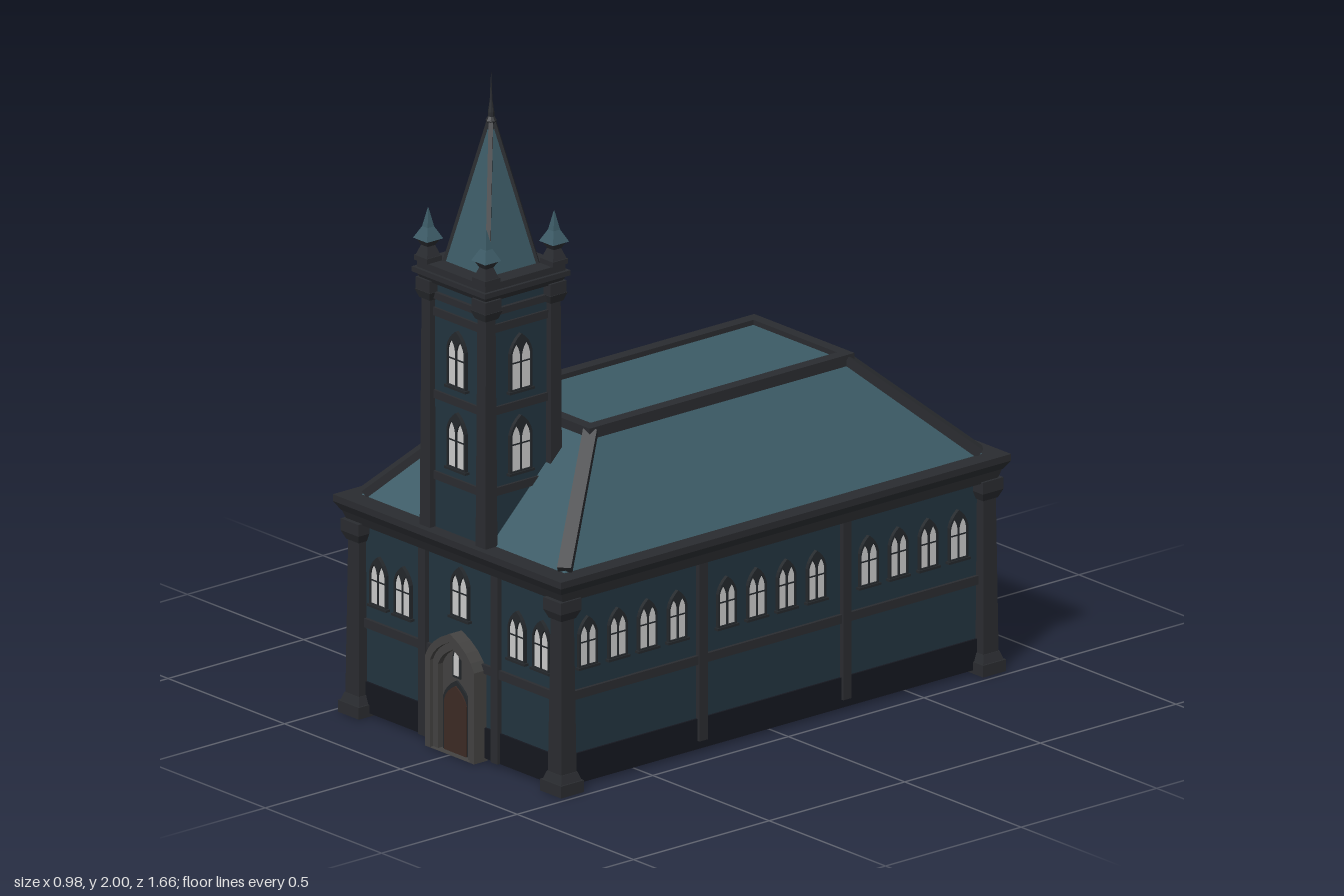
import * as THREE from 'three';

const mat = (color, side = THREE.FrontSide) => new THREE.MeshStandardMaterial({ color, side, flatShading: true });
const WALL = mat(0x22343f), TRIM = mat(0x2a2c30), DARK = mat(0x15171f), ROOF = mat(0x3c5b66);
const STONE = mat(0x434241), DOOR = mat(0x3d2a24), FRAME = mat(0x24282c), GLASS = mat(0xcccccc);

function add(parent, name, geo, material, x = 0, y = 0, z = 0) {
  const m = new THREE.Mesh(geo, material);
  m.name = name;
  m.position.set(x, y, z);
  parent.add(m);
  return m;
}

// Box between y0 and y1
function block(parent, name, material, w, d, y0, y1, x = 0, z = 0) {
  return add(parent, name, new THREE.BoxGeometry(w, y1 - y0, d), material, x, (y0 + y1) / 2, z);
}

// Box whose top has a different width and depth from its bottom
function taper(parent, name, material, [bw, bd], [tw, td], y0, y1, x = 0, z = 0) {
  const g = new THREE.BoxGeometry(1, y1 - y0, 1), p = g.attributes.position;
  for (let i = 0; i < p.count; i++) {
    const top = p.getY(i) > 0;
    p.setX(i, p.getX(i) * (top ? tw : bw));
    p.setZ(i, p.getZ(i) * (top ? td : bd));
  }
  g.computeVertexNormals();
  return add(parent, name, g, material, x, (y0 + y1) / 2, z);
}

// Straight beam from a to b
function strut(parent, name, material, a, b, w, h) {
  const A = new THREE.Vector3(...a), B = new THREE.Vector3(...b);
  const m = add(parent, name, new THREE.BoxGeometry(w, h, A.distanceTo(B)), material);
  m.position.copy(A).add(B).multiplyScalar(0.5);
  m.lookAt(B);
  return m;
}

// Pointed arch outline, half width w
function arch(w, y0, spring, top, x = 0, C = THREE.Shape) {
  const s = new C(), k = spring + (top - spring) * 0.6;
  s.moveTo(x - w, y0);
  s.lineTo(x + w, y0);
  s.lineTo(x + w, spring);
  s.quadraticCurveTo(x + w * 0.8, k, x, top);
  s.quadraticCurveTo(x - w * 0.8, k, x - w, spring);
  s.lineTo(x - w, y0);
  return s;
}
const extrude = (shape, depth) => new THREE.ExtrudeGeometry(shape, { depth, bevelEnabled: false, curveSegments: 4 });

// Twin lancet window with tracery, glazing bar and sill, facing +z
function makeWindow(w, h) {
  const g = new THREE.Group(), a = w / 2;
  g.name = 'window';
  add(g, 'glass', extrude(arch(a - 0.004, 0.004, h * 0.66, h - 0.006), 0.006), GLASS);
  const tracery = arch(a, 0, h * 0.68, h);
  for (const s of [-1, 1])
    tracery.holes.push(arch(a * 0.4, 0.007, h * 0.64, h * 0.83, s * a * 0.46, THREE.Path));
  add(g, 'tracery', extrude(tracery, 0.011), FRAME);
  add(g, 'glazingBar', new THREE.BoxGeometry(w, 0.004, 0.008), FRAME, 0, h * 0.5, 0.004);
  add(g, 'sill', new THREE.BoxGeometry(w + 0.012, 0.007, 0.018), FRAME, 0, 0, 0.006);
  return g;
}
function putWindow(parent, w, h, x, y, z, ry) {
  const g = makeWindow(w, h);
  g.position.set(x, y, z);
  g.rotation.y = ry;
  parent.add(g);
}

const WX = 0.43, WZ = 0.775; // wall planes

function makeHall() {
  const hall = new THREE.Group();
  hall.name = 'hall';
  for (const s of [-1, 1]) {
    // Walls with dark plinths and a middle rail
    block(hall, 'sideWall', WALL, 0.02, 2 * WZ, 0.01, 0.6, s * (WX - 0.01));
    block(hall, 'endWall', WALL, 2 * WX, 0.02, 0.01, 0.6, 0, s * (WZ - 0.01));
    block(hall, 'sidePlinth', DARK, 0.008, 2 * WZ, 0.01, 0.1, s * (WX + 0.002));
    block(hall, 'endPlinth', DARK, 2 * WX, 0.008, 0.01, 0.1, 0, s * (WZ + 0.002));
    block(hall, 'sideRail', TRIM, 0.02, 2 * WZ, 0.262, 0.288, s * WX);
    block(hall, 'endRail', TRIM, 2 * WX, 0.02, 0.262, 0.288, 0, s * WZ);
    // Bay posts and floor beams
    for (const z of [-0.265, 0.265]) block(hall, 'sidePost', TRIM, 0.03, 0.03, 0.035, 0.58, s * WX, z);
    for (const x of [-0.155, 0.155]) block(hall, 'endPost', TRIM, 0.03, 0.03, 0.01, 0.58, x, s * WZ);
    block(hall, 'crossBeam', TRIM, 2 * WX - 0.03, 0.035, 0.03, 0.11, 0, s * 0.265);
    block(hall, 'longBeam', TRIM, 0.035, 2 * WZ - 0.03, 0.03, 0.11, s * 0.155);
    // Corner pillars with bases and capitals
    for (const t of [-1, 1]) {
      const x = s * 0.435, z = t * 0.778;
      block(hall, 'pillarBase', TRIM, 0.09, 0.085, 0, 0.035, x, z);
      taper(hall, 'pillarBase', TRIM, [0.08, 0.076], [0.062, 0.06], 0.035, 0.06, x, z);
      taper(hall, 'pillar', TRIM, [0.058, 0.056], [0.046, 0.046], 0.06, 0.53, x, z);
      taper(hall, 'capital', TRIM, [0.054, 0.054], [0.076, 0.076], 0.515, 0.54, x, z);
      block(hall, 'capital', TRIM, 0.076, 0.076, 0.54, 0.575, x, z);
    }
    // Side windows, three bays of four
    for (const bay of [-0.515, 0.008, 0.52])
      for (let i = -1.5; i <= 1.5; i++) putWindow(hall, 0.068, 0.15, s * WX, 0.35, bay + i * 0.11, s * Math.PI / 2);
    // End windows
    for (const x of [0.245, 0.35]) {
      putWindow(hall, 0.07, 0.15, s * x, 0.335, WZ, 0);
      putWindow(hall, 0.07, 0.15, s * x, 0.335, -WZ, Math.PI);
    }
    putWindow(hall, 0.07, 0.15, s * 0.053, 0.335, -WZ, Math.PI);
  }
  putWindow(hall, 0.075, 0.155, 0, 0.395, WZ, 0);
  block(hall, 'floor', DARK, 2 * WX - 0.02, 2 * WZ - 0.02, 0.1, 0.12);
  // Stepped cornice
  taper(hall, 'lowerCornice', TRIM, [0.93, 1.6], [0.945, 1.63], 0.57, 0.605);
  taper(hall, 'upperCornice', TRIM, [0.945, 1.63], [0.98, 1.66], 0.6, 0.625);
  block(hall, 'corniceTop', TRIM, 0.98, 1.66, 0.625, 0.645);
  return hall;
}

function makeRoof() {
  const roof = new THREE.Group(), y0 = 0.64, y1 = 0.935;
  roof.name = 'roof';
  taper(roof, 'roofSlopes', ROOF, [0.88, 1.55], [0.4, 0.95], y0, y1);
  for (const s of [-1, 1]) {
    for (const t of [-1, 1])
      strut(roof, 'hipBeam', TRIM, [s * 0.43, y0 + 0.01, t * 0.765], [s * 0.198, y1 - 0.003, t * 0.47], 0.04, 0.03);
    block(roof, 'ridgeBeam', TRIM, 0.036, 0.976, y1 - 0.018, y1 + 0.015, s * 0.197);
    block(roof, 'ridgeBeam', TRIM, 0.43, 0.034, y1 - 0.018, y1 + 0.015, 0, s * 0.471);
  }
  return roof;
}

function makePortal() {
  const portal = new THREE.Group();
  portal.name = 'portal';
  // Each step: half width, spring, top, then the opening and front plane
  const steps = [[0.105, 0.27, 0.36, 0.085, 0.26, 0.335, 0.82], [0.09, 0.26, 0.338, 0.064, 0.25, 0.31, 0.808]];
  for (const [w, s, t, iw, is, it, z] of steps) {
    const shape = arch(w, 0, s, t);
    shape.holes.push(arch(iw, 0.001, is, it, 0, THREE.Path));
    add(portal, 'archStep', extrude(shape, z - 0.77), STONE, 0, 0, 0.77);
  }
  add(portal, 'backPanel', extrude(arch(0.07, 0, 0.255, 0.32), 0.02), STONE, 0, 0, 0.77);
  add(portal, 'doorFrame', extrude(arch(0.057, 0, 0.155, 0.215), 0.026), FRAME, 0, 0, 0.77);
  add(portal, 'door', extrude(arch(0.047, 0, 0.15, 0.2), 0.03), DOOR, 0, 0, 0.77);
  add(portal, 'lancetFrame', extrude(arch(0.017, 0.222, 0.285, 0.318), 0.024), FRAME, 0, 0, 0.77);
  add(portal, 'lancet', extrude(arch(0.01, 0.23, 0.28, 0.308), 0.027), GLASS, 0, 0, 0.77);
  return portal;
}

function makeTower() {
  const tower = new THREE.Group(), R = 0.125;
  tower.name = 'tower';
  block(tower, 'towerBody', WALL, 2 * R - 0.01, 2 * R - 0.01, 0.6, 1.4);
  // Rails, string courses and cornice
  for (const y of [0.8, 1.04, 1.285]) block(tower, 'rail', TRIM, 2 * R + 0.004, 2 * R + 0.004, y - 0.012, y + 0.012);
  block(tower, 'frieze', TRIM, 0.262, 0.262, 1.325, 1.345);
  taper(tower, 'cornice', TRIM, [0.28, 0.28], [0.3, 0.3], 1.375, 1.395);
  block(tower, 'cornice', TRIM, 0.315, 0.315, 1.395, 1.41);
  block(tower, 'corniceTop', TRIM, 0.295, 0.295, 1.41, 1.43);
  // Windows on all four faces
  for (let k = 0; k < 4; k++) {
    const a = k * Math.PI / 2, r = R - 0.005;
    for (const y of [0.84, 1.082]) putWindow(tower, 0.08, 0.17, r * Math.sin(a), y, r * Math.cos(a), a);
  }
  for (const s of [-1, 1]) for (const t of [-1, 1]) {
    // Corner pillars
    taper(tower, 'towerPillar', TRIM, [0.044, 0.044], [0.036, 0.036], 0.6, 1.34, s * 0.12, t * 0.12);
    taper(tower, 'towerCapital', TRIM, [0.046, 0.046], [0.064, 0.064], 1.32, 1.345, s * 0.12, t * 0.12);
    block(tower, 'towerCapital', TRIM, 0.06, 0.06, 1.345, 1.38, s * 0.12, t * 0.12);
    // Corner pinnacles
    const x = s * 0.125, z = t * 0.125;
    block(tower, 'pinnacleBase', TRIM, 0.056, 0.056, 1.43, 1.445, x, z);
    taper(tower, 'pinnacleShaft', TRIM, [0.05, 0.05], [0.028, 0.028], 1.445, 1.475, x, z);
    taper(tower, 'pinnacleHead', TRIM, [0.028, 0.028], [0.05, 0.05], 1.475, 1.495, x, z);
    taper(tower, 'pinnacleRoof', ROOF, [0.06, 0.06], [0.024, 0.024], 1.495, 1.53, x, z);
    taper(tower, 'pinnacleTip', ROOF, [0.024, 0.024], [0.002, 0.002], 1.53, 1.585, x, z);
    strut(tower, 'spireRib', TRIM, [s * 0.092, 1.425, t * 0.092], [s * 0.005, 1.845, t * 0.005], 0.013, 0.013);
  }
  // Spire and finial
  taper(tower, 'spire', ROOF, [0.19, 0.19], [0.014, 0.014], 1.425, 1.845);
  const finial = [[0, 1.82], [0.012, 1.825], [0.009, 1.838], [0.016, 1.85], [0.009, 1.862], [0.009, 1.875], [0.004, 1.91], [0, 2]];
  add(tower, 'finial', new THREE.LatheGeometry(finial.map(p => new THREE.Vector2(...p)), 8), TRIM);
  tower.position.z = 0.667;
  return tower;
}

export function createModel() {
  const model = new THREE.Group();
  model.name = 'church';
  model.add(makeHall(), makeRoof(), makePortal(), makeTower());
  return model;
}
